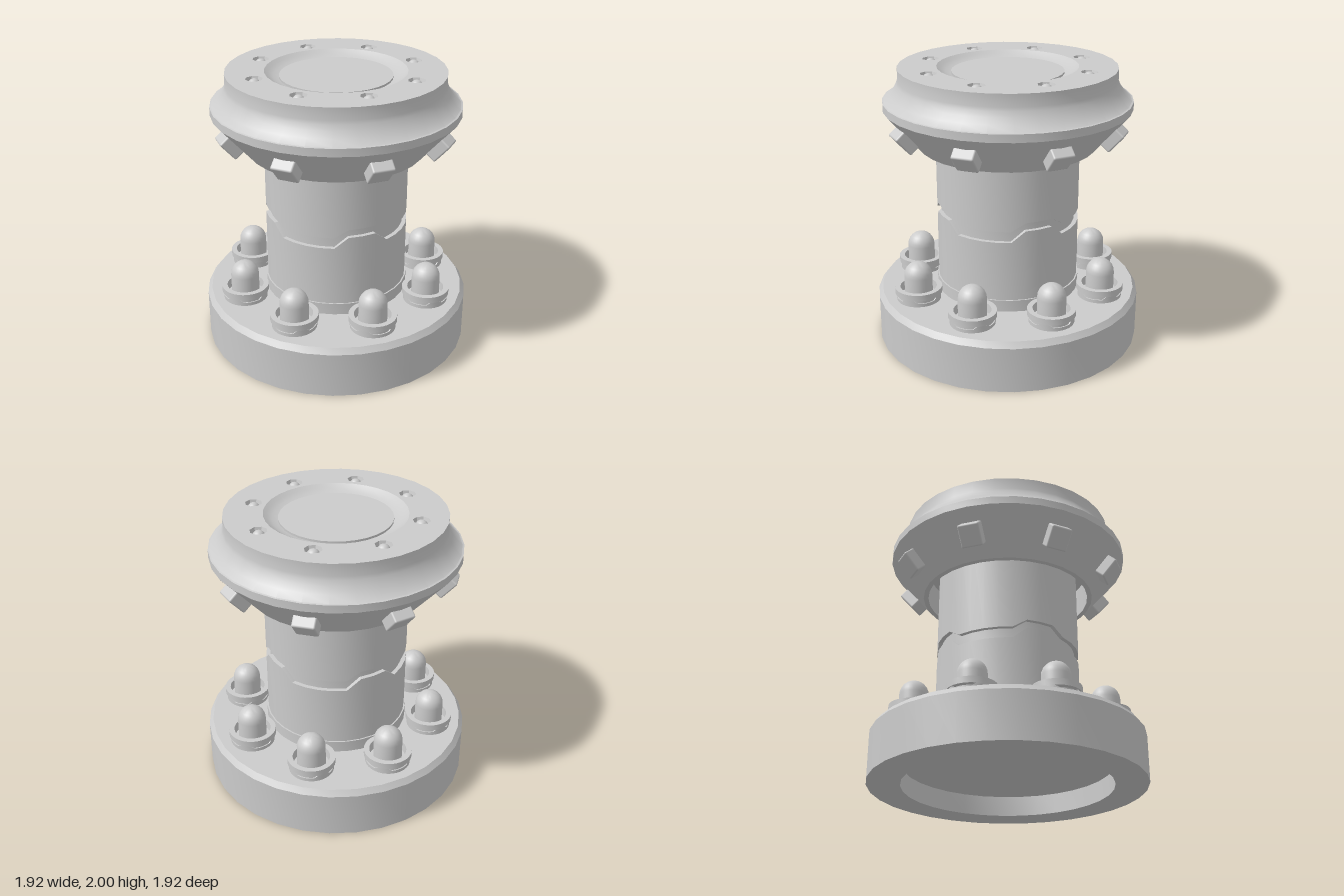
import * as THREE from 'three';
import { toCreasedNormals } from 'three/addons/utils/BufferGeometryUtils.js';
import { RoundedBoxGeometry } from 'three/addons/geometries/RoundedBoxGeometry.js';

const SIDES = 32;
const material = new THREE.MeshStandardMaterial({ color: 0xcccccc });

function part(name, geometry) {
  const mesh = new THREE.Mesh(geometry, material);
  mesh.name = name;
  return mesh;
}

// Turned shape from [radius, y, bump] points; bump lifts the point in four
// trapezoid steps around the axis, giving the jagged seams.
function turned(profile, sides = SIDES) {
  const geo = new THREE.LatheGeometry(profile.map(([r, y]) => new THREE.Vector2(r, y)), sides);
  const pos = geo.attributes.position;
  for (let i = 0; i <= sides; i++) {
    const raised = [3, 4, 5].includes(i % 8) ? 1 : 0;
    profile.forEach(([, y, bump = 0], j) => pos.setY(i * profile.length + j, y + bump * raised));
  }
  return toCreasedNormals(geo, 0.5);
}

// Regular polygon outline
function polygon(radius, sides, cx = 0, cy = 0) {
  return Array.from({ length: sides }, (_, i) => {
    const a = (i / sides) * Math.PI * 2;
    return new THREE.Vector2(cx + radius * Math.cos(a), cy + radius * Math.sin(a));
  });
}

// Eight copies spaced evenly around the axis
function around(parent, name, make) {
  for (let i = 0; i < 8; i++) {
    const arm = new THREE.Group();
    arm.name = name;
    arm.rotation.y = (i * Math.PI) / 4;
    arm.add(...make());
    parent.add(arm);
  }
}

export function createModel() {
  const model = new THREE.Group();
  model.name = 'pedestal';

  // Base drum, hollow underneath
  model.add(part('base', turned([
    [0, 0.145], [0.73, 0.145], [0.73, 0], [0.96, 0], [0.96, 0.33], [0.93, 0.37], [0, 0.37],
  ])));

  // Column with foot collar and jagged seam
  model.add(part('column', turned([
    [0.52, 0.36], [0.52, 0.455], [0.51, 0.455],
    [0.51, 0.89, 0.08], [0.48, 0.89, 0.08],
    [0.48, 0.97, 0.06], [0.51, 0.97, 0.06], [0.51, 1.68],
  ])));

  // Flared head with a cavity around the column
  model.add(part('head', turned([
    [0.51, 1.66], [0.59, 1.66], [0.59, 1.44], [0.625, 1.44], [0.87, 1.72], [0.87, 1.775],
    [0.857, 1.778], [0.815, 1.815], [0.785, 1.855], [0.768, 1.89], [0.76, 1.915], [0.76, 2],
  ])));

  // Top plate with octagonal holes
  const plate = new THREE.Shape(polygon(0.76, SIDES));
  plate.holes.push(new THREE.Path(polygon(0.49, SIDES)));
  polygon(0.58, 8).forEach((c) => plate.holes.push(new THREE.Path(polygon(0.06, 8, c.x, c.y))));
  model.add(part('topPlate', new THREE.ShapeGeometry(plate).rotateX(-Math.PI / 2)));
  model.getObjectByName('topPlate').position.y = 2;

  // Shallow dish in the middle of the top
  model.add(part('topDish', turned([
    [0.49, 2], [0.465, 1.982], [0.43, 1.962], [0.39, 1.952], [0.39, 1.967], [0, 1.967],
  ])));

  // Small rivets sunk into the top plate
  const socket = turned([[0.06, 2], [0.05, 1.965], [0, 1.965]], 8);
  const rivet = new THREE.SphereGeometry(0.044, 16, 8, 0, Math.PI * 2, 0, Math.PI / 2);
  around(model, 'topRivet', () => {
    const s = part('rivetSocket', socket);
    const r = part('rivetDome', rivet);
    s.position.z = 0.58;
    r.position.set(0, 1.958, 0.58);
    return [s, r];
  });

  // Blocks on the sloping underside of the head
  const block = new RoundedBoxGeometry(0.155, 0.16, 0.14, 2, 0.012);
  around(model, 'headBlock', () => {
    const b = part('block', block);
    b.position.set(0, 1.578, 0.748);
    b.rotation.x = Math.atan2(0.245, 0.28);
    return [b];
  });

  // Domed studs standing in jagged cups
  const cup = turned([
    [0.158, 0.365], [0.158, 0.395, 0.022], [0.15, 0.395, 0.022],
    [0.15, 0.413, 0.018], [0.168, 0.421], [0.168, 0.465],
    [0.13, 0.465], [0.125, 0.4], [0, 0.4],
  ]);
  const dome = [];
  for (let i = 0; i <= 6; i++) {
    const a = (i / 6) * Math.PI / 2;
    dome.push([0.1 * Math.cos(a), 0.55 + 0.1 * Math.sin(a)]);
  }
  const stud = turned([[0.1, 0.39], ...dome]);
  around(model, 'baseStud', () => {
    const pieces = [part('studCup', cup), part('studDome', stud)];
    pieces.forEach((p) => { p.position.z = 0.705; });
    return pieces;
  });

  return model;
}
